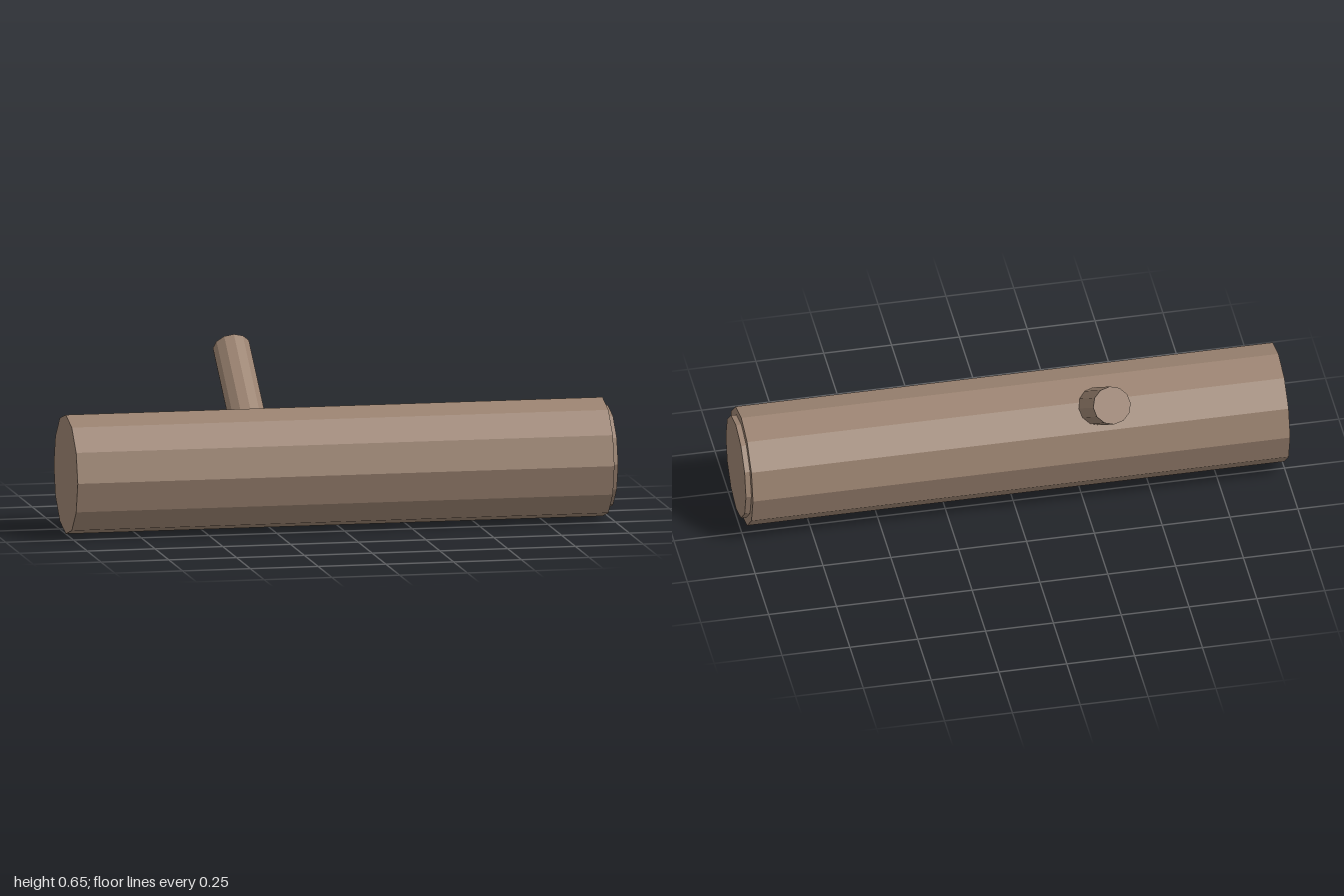
import * as THREE from 'three';

export function createModel() {
  const model = new THREE.Group();
  const bark = new THREE.MeshStandardMaterial({ color: 0x9a8270, flatShading: true });
  bark.name = 'bark brown';

  // Twelve-sided faceted length of wood
  function addWood(name, radius, length, position, rotation) {
    const mesh = new THREE.Mesh(new THREE.CylinderGeometry(radius, radius, length, 12), bark);
    mesh.name = name;
    mesh.position.set(...position);
    mesh.rotation.set(...rotation);
    model.add(mesh);
  }

  // Fallen trunk lying along x
  addWood('trunk', 0.218, 1.98, [-0.01, 0.218, 0.11], [0, 0, -Math.PI / 2]);
  // Raised cut face at the left end
  addWood('cutEnd', 0.188, 0.03, [0.985, 0.218, 0.11], [0, 0, -Math.PI / 2]);
  // Branch stub leaning up and back, rooted inside the trunk
  addWood('branchStub', 0.069, 0.42, [-0.308, 0.47, -0.118], [-0.925, 0, 0]);

  return model;
}
